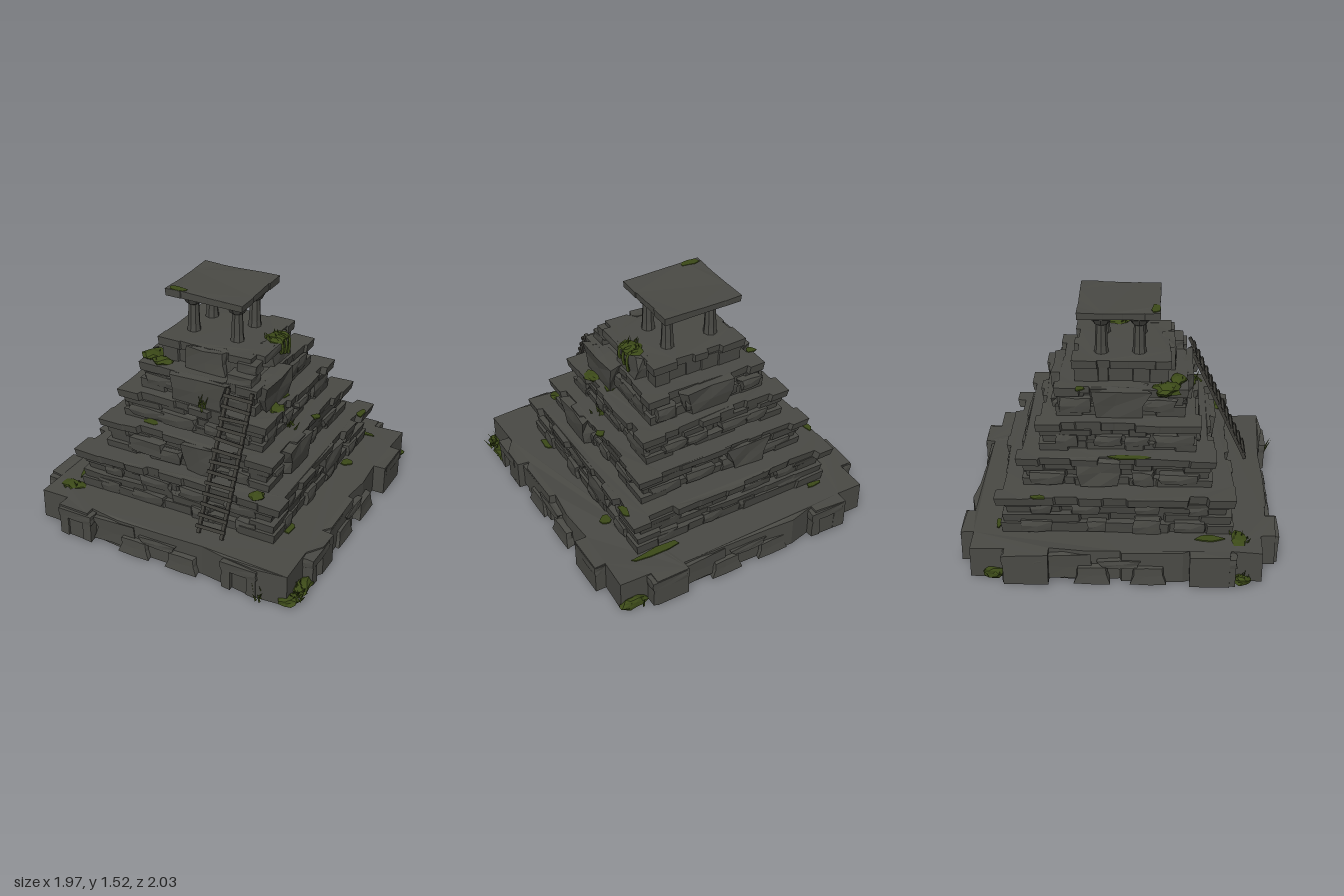
import * as THREE from 'three';

let seed = 7;
const rnd = () => {
  seed = (seed * 16807) % 2147483647;
  return seed / 2147483647;
};
const span = (a, b) => a + (b - a) * rnd();
const r3 = (v) => Math.round(v * 1000);
const hash = (x, y, z, k) => {
  const s = Math.sin(r3(x) * 1.271 + r3(y) * 3.117 + r3(z) * 0.747 + k * 12.9) * 43758.5453;
  return s - Math.floor(s) - 0.5;
};

const stone = new THREE.MeshStandardMaterial({ color: 0x4a4a45, flatShading: true });
const wood = new THREE.MeshStandardMaterial({ color: 0x3d3c37, flatShading: true });
const moss = new THREE.MeshStandardMaterial({ color: 0x3c4a18, flatShading: true, side: THREE.DoubleSide });

// Moves every vertex by a rule; vertices at the same place move alike
function warp(geo, rule) {
  const p = geo.attributes.position;
  const v = new THREE.Vector3();
  for (let i = 0; i < p.count; i++) {
    v.fromBufferAttribute(p, i);
    rule(v);
    p.setXYZ(i, v.x, v.y, v.z);
  }
  geo.computeVertexNormals();
  return geo;
}

// Upright slab from an [x, z] outline, with an uneven top and a slightly tucked-in foot
function slab(outline, y0, y1, foot = 1, wave = 0.006) {
  const shape = new THREE.Shape(outline.map(([x, z]) => new THREE.Vector2(x, -z)));
  const geo = new THREE.ExtrudeGeometry(shape, { depth: y1 - y0, bevelEnabled: false });
  geo.rotateX(-Math.PI / 2).translate(0, y0, 0);
  return warp(geo, (v) => {
    if (v.y > (y0 + y1) / 2) v.y += wave * Math.sin(v.x * 9 + v.z * 7 + y0 * 40);
    else { v.x *= foot; v.z *= foot; }
  });
}

// Rectangle outline with worn stones stepping in and out along each side
function wornOutline(x0, x1, z0, z1, n, depth) {
  const corners = [[x0, z1], [x1, z1], [x1, z0], [x0, z0]];
  const inward = [[0, -1], [-1, 0], [0, 1], [1, 0]];
  const pts = [];
  corners.forEach((a, s) => {
    const b = corners[(s + 1) % 4];
    let t = 0;
    for (let i = 0; i < n; i++) {
      const end = i === n - 1 ? 1 : (i + 1 + span(-0.3, 0.3)) / n;
      const off = i === 0 || i === n - 1 ? 0 : depth * rnd();
      [t + (i ? 0.008 : 0), end].forEach((u, k) => {
        if (k && i === n - 1) return;
        const o = off && off + span(-0.1, 0.1) * depth;
        pts.push([a[0] + (b[0] - a[0]) * u + inward[s][0] * o, a[1] + (b[1] - a[1]) * u + inward[s][1] * o]);
      });
      t = end;
    }
  });
  return pts;
}

// Chipped boulder; taper narrows the foot
function boulder(w, h, d, taper = 0.75, rough = 0.16) {
  return warp(new THREE.BoxGeometry(1, 1, 1, 2, 2, 2), (v) => {
    const { x, y, z } = v;
    const k = 1 + (taper - 1) * (0.5 - y);
    v.set((x * k + hash(x, y, z, w) * rough) * w, (y + hash(x, y, z, h + 3) * rough * 0.7) * h, (z * k + hash(x, y, z, d + 7) * rough) * d);
  });
}

export function createModel() {
  seed = 7;
  const model = new THREE.Group();
  const add = (name, geo, mat, x = 0, y = 0, z = 0, parent = model) => {
    const m = new THREE.Mesh(geo, mat);
    m.name = name;
    m.position.set(x, y, z);
    parent.add(m);
    return m;
  };
  const group = (name) => {
    const g = new THREE.Group();
    g.name = name;
    model.add(g);
    return g;
  };

  // Base platform with projecting buttresses
  add('basePlatform', slab([
    [-0.9, -0.91], [-0.72, -0.91], [-0.72, -0.99], [-0.49, -0.98], [-0.49, -0.93], [-0.32, -0.97], [-0.13, -0.95],
    [0.46, -0.93], [0.46, -0.99], [0.68, -0.99], [0.68, -0.91], [0.89, -0.91], [0.88, -0.7], [0.95, -0.7],
    [0.95, -0.43], [0.87, -0.43], [0.89, -0.2], [0.87, 0], [0.91, 0.01], [0.91, 0.35], [0.87, 0.4], [0.95, 0.41],
    [0.95, 0.56], [0.88, 0.66], [0.89, 0.94], [0.68, 0.96], [0.46, 0.93], [0.3, 0.91], [0, 0.92], [-0.3, 0.92],
    [-0.5, 0.9], [-0.5, 0.96], [-0.72, 0.95], [-0.72, 0.86], [-0.91, 0.86], [-0.9, 0.67], [-0.98, 0.66],
    [-0.98, 0.42], [-0.91, 0.42], [-0.93, 0.38], [-0.93, 0.01], [-0.9, 0], [-0.92, -0.2], [-0.9, -0.43],
    [-0.98, -0.43], [-0.98, -0.7], [-0.9, -0.7],
  ], 0, 0.205, 1, 0.007), stone);

  // Lintels, posts and low middle stones on the four faces of the base
  [[0, 0.925], [Math.PI / 2, 0.905], [Math.PI, 0.945], [-Math.PI / 2, 0.93]].forEach(([turn, d]) => {
    const face = group('baseTrim');
    face.rotation.y = turn;
    [-0.59, 0.58].forEach((x) => {
      add('buttressLintel', boulder(0.24, 0.06, 0.1, 1, 0.06), stone, x, 0.165, d - 0.002, face);
      [-0.085, 0.085].forEach((o) => add('buttressPost', boulder(0.06, 0.14, 0.09, 1, 0.06), stone, x + o, 0.075, d, face));
    });
    [-0.17, 0.17].forEach((x) => add('middleStone', boulder(0.17, 0.11, 0.06, 1.25), stone, x, 0.055, d - 0.01, face));
    add('middleLintel', boulder(0.26, 0.05, 0.05, 0.9), stone, 0, 0.125, d - 0.01, face);
    add('bulgingBlock', boulder(0.3, 0.17, 0.06, 0.9), stone, -0.32, 0.1, d - 0.025, face);
  });

  // Courses of each terrace: x0, x1, z0, z1, y0, y1, stones per side, wear
  [
    [-0.72, 0.68, -0.74, 0.69, 0.2, 0.27, 7, 0.03],
    [-0.71, 0.67, -0.73, 0.68, 0.27, 0.325, 6, 0.05],
    [-0.69, 0.64, -0.71, 0.65, 0.325, 0.375, 8, 0.03],
    [-0.71, 0.66, -0.72, 0.67, 0.375, 0.415, 6, 0.05],
    [-0.76, 0.715, -0.77, 0.7, 0.412, 0.468, 9, 0.055],
    [-0.6, 0.575, -0.61, 0.56, 0.46, 0.52, 7, 0.035],
    [-0.58, 0.55, -0.59, 0.54, 0.52, 0.57, 6, 0.04],
    [-0.6, 0.57, -0.61, 0.55, 0.57, 0.625, 7, 0.04],
    [-0.64, 0.605, -0.645, 0.58, 0.622, 0.672, 8, 0.05],
    [-0.52, 0.48, -0.51, 0.46, 0.665, 0.72, 6, 0.03],
    [-0.5, 0.465, -0.49, 0.44, 0.72, 0.77, 6, 0.03],
    [-0.52, 0.48, -0.51, 0.46, 0.77, 0.815, 7, 0.04],
    [-0.55, 0.51, -0.53, 0.485, 0.812, 0.865, 8, 0.045],
    [-0.43, 0.39, -0.41, 0.39, 0.86, 0.93, 5, 0.03],
    [-0.41, 0.375, -0.395, 0.375, 0.93, 1.0, 6, 0.03],
    [-0.43, 0.405, -0.42, 0.405, 0.995, 1.05, 7, 0.04],
    [-0.325, 0.29, -0.3, 0.285, 1.045, 1.15, 5, 0.025],
    [-0.35, 0.31, -0.315, 0.3, 1.145, 1.2, 5, 0.03],
  ].forEach(([x0, x1, z0, z1, y0, y1, n, wear]) =>
    add('terraceCourse', slab(wornOutline(x0, x1, z0, z1, n, wear), y0, y1, 0.985, 0.004), stone));

  // Loose stones bedded in the terrace walls: half width, y, height
  [[0.67, 0.25, 0.09], [0.65, 0.36, 0.08], [0.555, 0.52, 0.08], [0.47, 0.74, 0.08], [0.385, 0.94, 0.09]].forEach(([r, y, h]) => {
    for (let s = 0; s < 4; s++) {
      const wall = group('wallStones');
      wall.rotation.y = s * Math.PI / 2;
      wall.position.set(-0.02, 0, -0.02);
      for (let i = 0; i < 4; i++) {
        add('wallStone', boulder(span(0.1, 0.24), h * span(0.7, 1.1), 0.07, 0.95),
          stone, (i - 1.5) * r * 0.47 + span(-0.05, 0.05), y, r - 0.005, wall);
      }
    }
  });

  // Large boulders bulging through the terraces: x, y, z, w, h, d
  [
    [0, 0.95, 0.39, 0.4, 0.19, 0.11], [0.1, 0.57, 0.54, 0.24, 0.19, 0.1], [-0.3, 0.55, 0.54, 0.25, 0.1, 0.08],
    [0.56, 0.57, 0.21, 0.12, 0.18, 0.32], [0.39, 0.96, 0.18, 0.11, 0.18, 0.36], [0.63, 0.33, -0.2, 0.1, 0.12, 0.3],
    [-0.41, 0.95, -0.02, 0.11, 0.19, 0.36], [-0.58, 0.57, -0.15, 0.1, 0.17, 0.28],
    [-0.02, 0.95, -0.4, 0.38, 0.18, 0.1], [-0.2, 0.56, -0.59, 0.3, 0.17, 0.09],
  ].forEach(([x, y, z, w, h, d]) => add('boulder', boulder(w, h, d, 0.78), stone, x, y, z));

  // Sloping stone and landing steps on the summit
  add('summitStone', boulder(0.24, 0.15, 0.09, 1.15), stone, 0, 1.12, 0.28);
  add('summitStone', boulder(0.09, 0.15, 0.22, 1.15), stone, 0.3, 1.12, -0.05);
  add('landingStep', boulder(0.17, 0.06, 0.12, 1, 0.06), stone, 0.27, 1.08, 0.32);
  add('landingStep', boulder(0.13, 0.06, 0.1, 1, 0.06), stone, 0.29, 1.14, 0.27);
  add('landingStep', boulder(0.1, 0.05, 0.25, 1, 0.06), stone, 0.32, 1.175, 0.1);

  // Shrine: four flared columns carrying a flat roof
  const column = [[0.001, 0], [0.046, 0], [0.04, 0.05], [0.035, 0.19], [0.05, 0.2], [0.068, 0.235], [0.07, 0.265], [0.001, 0.265]]
    .map(([r, y]) => new THREE.Vector2(r, y));
  [-0.2, 0.11].forEach((x) => [-0.135, 0.1].forEach((z) => {
    add('column', new THREE.LatheGeometry(column, 8), stone, x, 1.195, z);
    add('capital', boulder(0.15, 0.03, 0.13, 0.95, 0.05), stone, x, 1.45, z);
  }));
  add('roof', slab(wornOutline(-0.33, 0.21, -0.28, 0.23, 4, 0.008), 1.46, 1.505, 0.99, 0.005), stone);

  // Leaning ladder
  const ladder = group('ladder');
  ladder.position.set(0.305, 0.635, 0.62);
  ladder.rotation.x = -Math.atan2(0.39, 0.82);
  [-0.08, 0.08].forEach((x) => add('ladderRail', new THREE.BoxGeometry(0.022, 0.91, 0.022), wood, x, 0, 0, ladder));
  for (let i = 0; i < 13; i++) {
    const rung = add('ladderRung', new THREE.BoxGeometry(0.2, 0.022, 0.016), wood, 0, -0.41 + i * 0.068, 0.012, ladder);
    rung.rotation.z = span(-0.06, 0.06);
  }

  // Moss clumps: x, y, z, half sizes
  [
    [-0.4, 1.04, 0.27, 0.07, 0.04, 0.09], [-0.3, 1.06, 0.34, 0.07, 0.025, 0.05], [0.31, 1.195, -0.04, 0.07, 0.025, 0.08],
    [0.45, 0.865, 0.23, 0.05, 0.022, 0.06], [0.53, 0.475, 0.62, 0.05, 0.02, 0.05], [0.9, 0.03, 0.76, 0.06, 0.04, 0.1],
    [0.89, 0.03, 0.91, 0.07, 0.03, 0.06], [-0.94, 0.03, 0.74, 0.04, 0.035, 0.06], [0.81, 0.04, -0.92, 0.09, 0.04, 0.04],
    [-0.91, 0.04, -0.77, 0.03, 0.04, 0.06], [-0.76, 0.21, 0.72, 0.08, 0.015, 0.05],
  ].forEach(([x, y, z, w, h, d]) => add('mossClump', warp(new THREE.IcosahedronGeometry(1, 1), (v) => {
    const k = 1 + 0.5 * hash(v.x, v.y, v.z, x);
    v.set(v.x * k * w, v.y * k * h, v.z * k * d);
  }), moss, x, y, z));

  // Thin moss patches lying on the ledges: x, y, z, half width, half depth
  [
    [0.55, 0.212, -0.77, 0.18, 0.025], [0.69, 0.47, -0.6, 0.025, 0.06], [0.69, 0.212, 0.5, 0.03, 0.06],
    [-0.6, 0.674, 0.05, 0.025, 0.12], [-0.74, 0.47, -0.5, 0.025, 0.05], [-0.77, 0.212, 0.54, 0.03, 0.08],
    [-0.25, 1.508, 0.2, 0.06, 0.025], [0.58, 0.674, -0.1, 0.03, 0.03], [0.42, 0.867, 0.06, 0.03, 0.04],
    [-0.43, 1.052, -0.26, 0.03, 0.03], [-0.32, 0.672, 0.46, 0.06, 0.03], [0.7, 0.212, -0.37, 0.04, 0.04],
    [-0.63, 0.212, -0.76, 0.05, 0.02],
  ].forEach(([x, y, z, w, d]) => add('mossPatch', warp(new THREE.CylinderGeometry(1, 1, 0.008, 9), (v) =>
    v.set(v.x * w * (1 + 0.5 * hash(v.x, 0, v.z, x)), v.y, v.z * d * (1 + 0.5 * hash(v.x, 0, v.z, x)))), moss, x, y, z));

  // Grass tufts: x, y, z, spread, blade height, count
  [
    [0.9, 0.01, 0.84, 0.07, 0.1, 26], [0.73, 0.01, 0.95, 0.04, 0.1, 10], [-0.94, 0.01, 0.74, 0.03, 0.08, 8],
    [0.82, 0.01, -0.92, 0.06, 0.07, 8], [0.31, 1.2, -0.04, 0.06, 0.05, 8], [0.5, 0.67, 0.1, 0.04, 0.07, 6],
    [0.05, 0.87, 0.47, 0.03, 0.11, 7], [-0.74, 0.2, 0.73, 0.06, 0.05, 8], [-0.38, 1.04, 0.3, 0.08, 0.05, 10],
  ].forEach(([x, y, z, s, h, n]) => {
    for (let i = 0; i < n; i++) {
      const blade = new THREE.ConeGeometry(0.009, h * span(0.7, 1.2), 3).translate(0, h / 2, 0);
      add('grassBlade', blade, moss, x + span(-s, s), y, z + span(-s, s)).rotation.set(span(-0.6, 0.6), 0, span(-0.6, 0.6));
    }
  });

  // Vines trailing over the summit edge
  [-0.1, -0.05, 0.0].forEach((z, i) => {
    const path = new THREE.CatmullRomCurve3([[0.29, 1.21], [0.36, 1.21], [0.375, 1.15], [0.365, 1.08 + i * 0.02]]
      .map(([x, y]) => new THREE.Vector3(x, y, z)));
    add('vine', new THREE.TubeGeometry(path, 8, 0.011, 4), moss);
  });

  return model;
}
